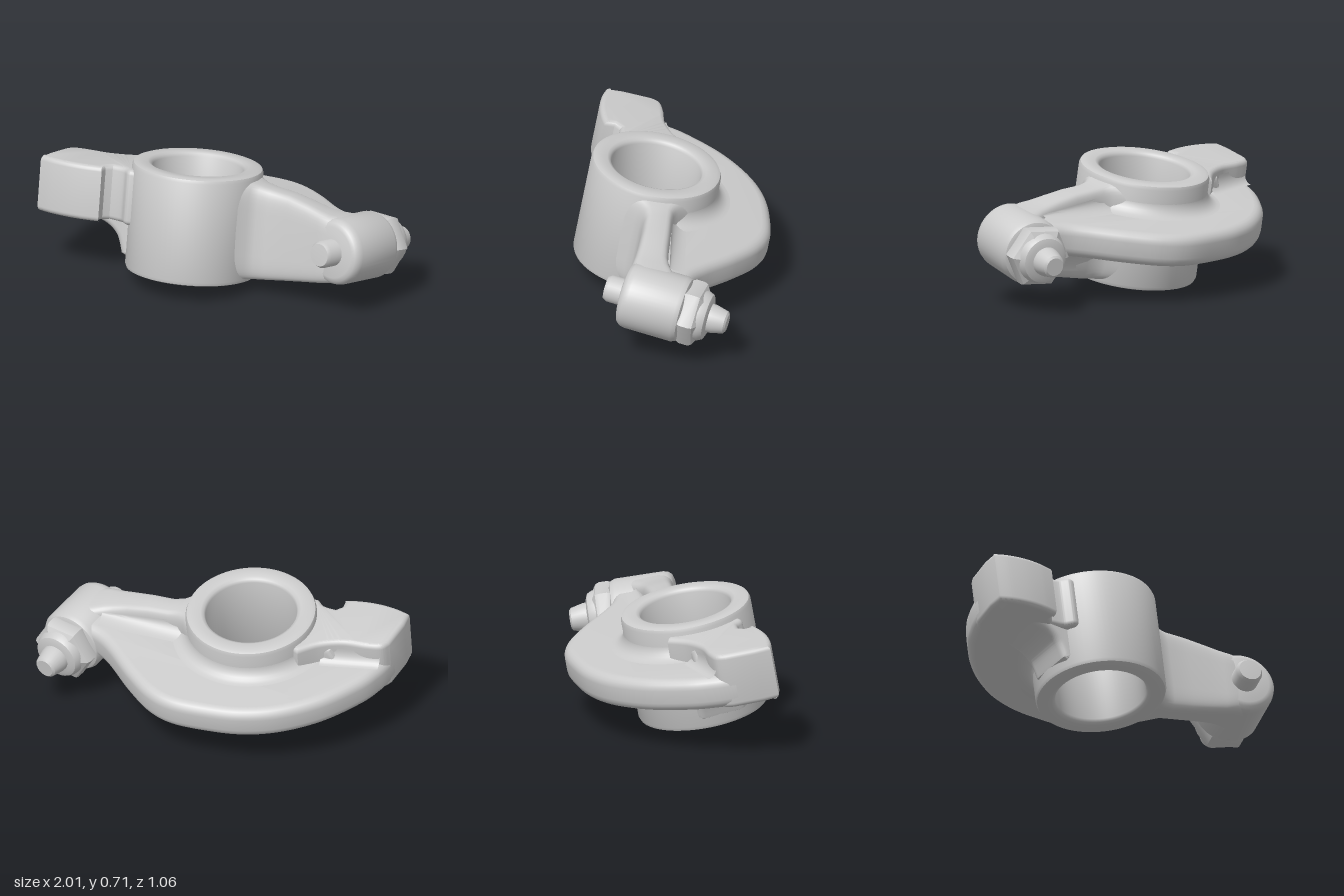
import * as THREE from 'three';
import { toCreasedNormals } from 'three/addons/utils/BufferGeometryUtils.js';
import { ParametricGeometry } from 'three/addons/geometries/ParametricGeometry.js';

const material = new THREE.MeshStandardMaterial({ color: 0xcccccc });
const HUB_X = -0.175;
const PLATE_TOP = 0.131, PLATE_BOTTOM = -0.05;

function part(name, geometry, crease = 0.6) {
  const mesh = new THREE.Mesh(toCreasedNormals(geometry, crease), material);
  mesh.name = name;
  return mesh;
}

const vectors = (list) => list.map(([x, y]) => new THREE.Vector2(x, y));

// Rounded extrusion filling z = 0 .. thickness, outline kept at its drawn size
function slab(shape, thickness, bevel) {
  const geometry = new THREE.ExtrudeGeometry(shape, {
    depth: thickness - 2 * bevel, bevelThickness: bevel, bevelSize: bevel,
    bevelOffset: -bevel, bevelSegments: 5, curveSegments: 16,
  });
  return geometry.translate(0, 0, bevel);
}

// Horizontal slab between two heights; the outline is drawn in x and z
function flatSlab(shape, bottom, top, bevel) {
  return slab(shape, top - bottom, bevel).rotateX(Math.PI / 2).translate(0, top, 0);
}

// Turned part, profile given as [radius, height] from the bottom outwards
function turned(profile, segments = 48, start = 0, sweep = Math.PI * 2) {
  return new THREE.LatheGeometry(vectors(profile), segments, start, sweep);
}

// Skin through rounded sections along x: [x, bottom, top, back, front]
function loft(sections, sides = 40) {
  const positions = [], index = [];
  const round = (v) => Math.sign(v) * Math.abs(v) ** 0.4;
  for (const [x, bottom, top, back, front] of sections) {
    for (let i = 0; i < sides; i++) {
      const a = (i / sides) * Math.PI * 2;
      positions.push(x,
        (bottom + top) / 2 + round(Math.cos(a)) * (top - bottom) / 2,
        (back + front) / 2 + round(Math.sin(a)) * (front - back) / 2);
    }
  }
  for (let s = 0; s < sections.length - 1; s++) {
    for (let i = 0; i < sides; i++) {
      const a = s * sides + i, b = s * sides + (i + 1) % sides;
      index.push(a, b, a + sides, b, b + sides, a + sides);
    }
  }
  const geometry = new THREE.BufferGeometry();
  geometry.setAttribute('position', new THREE.Float32BufferAttribute(positions, 3));
  geometry.setIndex(index);
  return geometry;
}

// Concave strip from a wall down (or up) to the plate behind it; ends are [x, y, z] on the wall
function wallFillet(name, from, to, plateY, reach) {
  const a = new THREE.Vector3(...from), b = new THREE.Vector3(...to);
  return part(name, new ParametricGeometry((u, v, target) => {
    const t = (v * Math.PI) / 2;
    target.lerpVectors(a, b, u);
    target.y = plateY + (target.y - plateY) * (1 - Math.sin(t));
    target.z -= reach * (1 - Math.cos(t));
  }, 12, 8));
}

function makeHub() {
  const group = new THREE.Group();
  group.name = 'pivotHub';
  group.position.x = HUB_X;
  const h = 0.3, R = 0.356, r = 0.247;
  group.add(part('pivotSleeve', turned([
    [r, -h + 0.025], [r + 0.008, -h + 0.008], [r + 0.025, -h], [R - 0.025, -h], [R - 0.007, -h + 0.007], [R, -h + 0.025],
    [R, h - 0.025], [R - 0.007, h - 0.007], [R - 0.025, h], [r + 0.025, h], [r + 0.008, h - 0.008], [r, h - 0.025],
    [r, -h + 0.025],
  ], 72), 0.8));
  // Concave fillets where the plate meets the sleeve
  const fillet = (y0, y1, out) => Array.from({ length: 8 }, (_, i) => {
    const a = (i / 7) * Math.PI / 2;
    return [0.353 + out * (1 - Math.sin(a)), y0 + (y1 - y0) * (1 - Math.cos(a))];
  });
  group.add(part('upperFillet', turned(fillet(PLATE_TOP, 0.22, 0.08), 40, Math.PI * 0.5, Math.PI)));
  group.add(part('lowerFillet', turned(fillet(PLATE_BOTTOM, -0.16, 0.14).reverse(), 40, Math.PI * 0.5, Math.PI)));
  return group;
}

// Crescent plate sweeping behind the hub
function makePlate() {
  const shape = new THREE.Shape();
  shape.moveTo(-0.985, 0.1);
  shape.splineThru(vectors([
    [-0.965, -0.02], [-0.93, -0.12], [-0.86, -0.245], [-0.7, -0.43], [-0.5, -0.57], [-0.3, -0.64],
    [-0.1, -0.657], [0.1, -0.645], [0.25, -0.58], [0.4, -0.45], [0.55, -0.29], [0.64, -0.215], [0.74, -0.17],
  ]));
  shape.lineTo(0.72, 0);
  shape.lineTo(0.12, 0);
  shape.absarc(HUB_X, 0, 0.3, 0, Math.PI, true);
  shape.lineTo(-0.8, 0.1);
  return part('crescentPlate', flatSlab(shape, PLATE_BOTTOM, PLATE_TOP, 0.055));
}

// Raised arm on the right with the curved contact pad at its front
function makePad() {
  const shape = new THREE.Shape();
  shape.moveTo(-1, 0.23);
  shape.lineTo(-0.998, 0.14);
  shape.lineTo(-0.965, -0.02);
  shape.splineThru(vectors([[-0.93, -0.065], [-0.85, -0.08], [-0.72, -0.085], [-0.6, -0.13], [-0.5, -0.21]]));
  shape.absarc(HUB_X, 0, 0.3, Math.PI + 0.6, Math.PI - 0.7, true);
  shape.splineThru(vectors([[-0.48, 0.225], [-0.53, 0.185], [-0.6, 0.172]]));
  shape.lineTo(-0.63, 0.2);
  shape.lineTo(-0.63, 0.255);
  shape.splineThru(vectors([[-0.72, 0.27], [-0.82, 0.272], [-0.92, 0.257], [-1, 0.23]]));
  return part('contactPadArm', flatSlab(shape, -0.052, 0.257, 0.028));
}

// Curved brace under the contact arm
function makeBrace() {
  const shape = new THREE.Shape();
  shape.moveTo(-0.46, 0.22);
  shape.lineTo(-0.66, 0.22);
  shape.lineTo(-0.78, -0.035);
  shape.splineThru(vectors([[-0.68, -0.06], [-0.61, -0.09], [-0.56, -0.14], [-0.53, -0.23]]));
  shape.lineTo(-0.46, -0.26);
  return part('padBrace', slab(shape, 0.28, 0.04).translate(0, 0, -0.12));
}

// Tall tapering web, flaring into the hub and the adjuster boss
function makeWeb() {
  return part('adjusterWeb', loft([
    [0.1, -0.28, 0.28, -0.22, 0.21],
    [0.14, -0.28, 0.276, -0.175, 0.165],
    [0.18, -0.277, 0.266, -0.125, 0.115],
    [0.22, -0.274, 0.254, -0.095, 0.087],
    [0.28, -0.268, 0.242, -0.085, 0.08],
    [0.4, -0.25, 0.23, -0.073, 0.097],
    [0.52, -0.232, 0.205, -0.06, 0.119],
    [0.6, -0.22, 0.185, -0.058, 0.138],
    [0.66, -0.21, 0.174, -0.07, 0.155],
    [0.74, -0.198, 0.166, -0.1, 0.155],
  ]), 0.8);
}

// Clamp, lock nut and adjusting screw on one slanted axis
function makeAdjuster() {
  const group = new THREE.Group();
  group.name = 'adjuster';
  group.position.set(0.74, -0.015, 0.07);
  group.rotation.y = -0.317;
  const along = (name, profile, segments, crease, start = 0) =>
    group.add(part(name, turned(profile, segments, start).rotateX(Math.PI / 2), crease));
  along('adjusterBoss', [
    [0, -0.25], [0.15, -0.25], [0.172, -0.24], [0.183, -0.215],
    [0.183, 0.05], [0.178, 0.075], [0.163, 0.095], [0.14, 0.103], [0, 0.103],
  ], 48);
  along('lockNut', [
    [0, -0.345], [0.14, -0.345], [0.172, -0.325], [0.179, -0.305], [0.179, -0.26], [0.168, -0.235], [0, -0.235],
  ], 6, 0.5, Math.PI / 6);
  along('nutCollar', [
    [0, -0.385], [0.1, -0.385], [0.125, -0.375], [0.138, -0.35], [0.142, -0.32], [0, -0.32],
  ], 32);
  along('adjustingScrew', [
    [0, -0.485], [0.05, -0.485], [0.062, -0.475], [0.078, -0.41], [0.082, -0.36],
    [0.074, -0.3], [0.074, 0.185], [0.062, 0.205], [0, 0.208],
  ], 28);
  return group;
}

export function createModel() {
  const model = new THREE.Group();
  model.name = 'rockerArm';
  // The whole arm leans back about the x axis
  const arm = new THREE.Group();
  arm.name = 'leaningArm';
  arm.position.set(0, 0.358, 0.128);
  arm.rotation.x = -0.178;
  arm.add(makeHub(), makePlate(), makePad(), makeBrace(), makeWeb(), makeAdjuster());
  arm.add(
    wallFillet('upperWebFillet', [0.18, 0.21, -0.083], [0.66, 0.15, -0.055], PLATE_TOP, 0.09),
    wallFillet('lowerWebFillet', [0.66, -0.17, -0.055], [0.18, -0.22, -0.083], PLATE_BOTTOM, 0.11),
    wallFillet('padArmFillet', [-0.92, 0.21, -0.06], [-0.6, 0.21, -0.105], PLATE_TOP, 0.06),
  );
  model.add(arm);
  return model;
}
